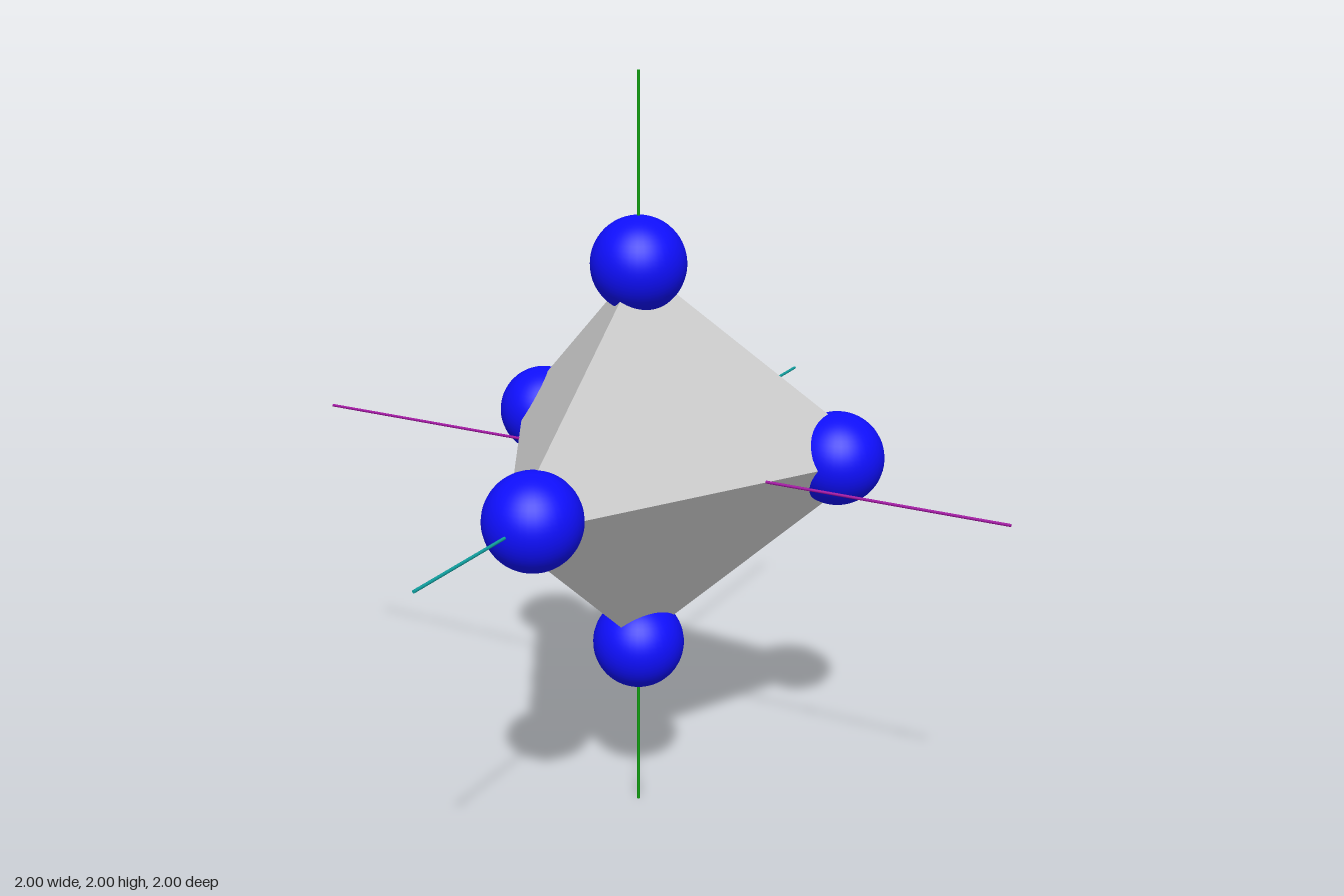
import * as THREE from 'three';

const material = (color, flatShading = false) => new THREE.MeshStandardMaterial({ color, flatShading });

export function createModel() {
  const model = new THREE.Group();
  const centre = new THREE.Group();
  centre.name = 'trigonalBipyramid';
  centre.position.y = 1;
  model.add(centre);

  const add = (name, geometry, mat) => {
    const mesh = new THREE.Mesh(geometry, mat);
    mesh.name = name;
    centre.add(mesh);
    return mesh;
  };

  // Three-sided double pyramid with one corner to the front
  const profile = [[0, -0.52], [0.64, 0], [0, 0.52]].map(([r, y]) => new THREE.Vector2(r, y));
  add('polyhedron', new THREE.LatheGeometry(profile, 3), material(0xcccccc, true));

  // Balls at the two tips and the three corners
  const ballGeometry = new THREE.SphereGeometry(0.123, 40, 28);
  const blue = material(0x0f0fff);
  for (const side of [1, -1]) {
    add(side > 0 ? 'topBall' : 'bottomBall', ballGeometry, blue).position.y = 0.52 * side;
  }
  ['frontBall', 'backLeftBall', 'backRightBall'].forEach((name, i) => {
    const angle = (i * Math.PI * 2) / 3;
    add(name, ballGeometry, blue).position.set(0.52 * Math.sin(angle), 0, 0.52 * Math.cos(angle));
  });

  // Thin axis rods through the centre
  const rod = new THREE.CylinderGeometry(0.004, 0.004, 2, 8);
  add('xAxisRod', rod, material(0xa010a0)).rotation.z = -Math.PI / 2;
  add('yAxisRod', rod, material(0x10a010));
  add('zAxisRod', rod, material(0x10a0a0)).rotation.x = Math.PI / 2;

  return model;
}
